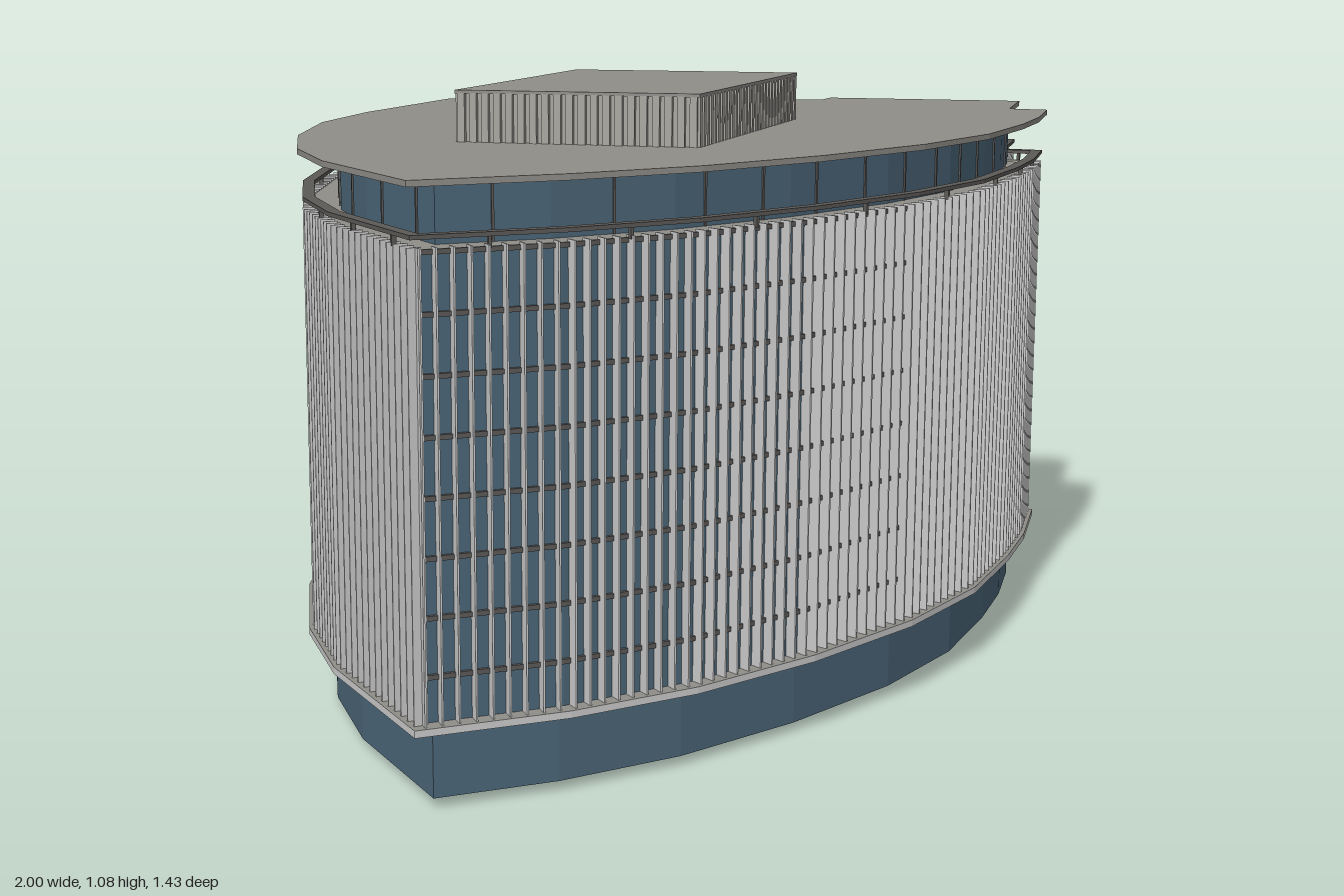
import * as THREE from 'three';
import { mergeGeometries } from 'three/addons/utils/BufferGeometryUtils.js';

// Roof outline as [x, z], running from the left tip along the front, the notched side and the back
const OUTLINE = [
  [-1, 0.363], [-0.79, 0.505], [-0.58, 0.605], [-0.33, 0.676], [-0.06, 0.717], [0.19, 0.716],
  [0.43, 0.67], [0.6, 0.624], [0.79, 0.554], [0.78, 0.475], [1, 0.394], [0.88, -0.005],
  [0.81, 0.013], [0.76, -0.127], [0.715, -0.285], [0.78, -0.315], [0.663, -0.716],
  [0.44, -0.648], [0.417, -0.712], [0, -0.592], [-0.25, -0.487], [-0.5, -0.317],
  [-0.7, -0.132], [-0.84, 0.053],
];
const PENTHOUSE = [[-0.455, 0.012], [-0.325, 0.433], [0.305, 0.248], [0.175, -0.187]];
const SOLID_EDGES = [8, 12, 13, 17]; // edges with plain panels instead of glazing

// The whole building leans very slightly
const LEAN = new THREE.Matrix4().set(1, 0, 0, 0, -0.005, 1, 0.009, 0, 0, 0, 1, 0, 0, 0, 0, 1);

const paint = (color) => new THREE.MeshStandardMaterial({ color });
const glass = paint(0x4b6678);
const concrete = paint(0x908e89);
const finPaint = paint(0xcccccc);
const slatPaint = paint(0xa8a6a0);
const darkTrim = paint(0x5c5a57);
const cream = paint(0xc8c3b3);

// Mitred inward offset of a closed outline
function inset(points, d) {
  const n = points.length;
  const normal = (i) => {
    const a = points[(i + n) % n], b = points[(i + 1) % n];
    const dx = b[0] - a[0], dz = b[1] - a[1], l = Math.hypot(dx, dz);
    return [dz / l, -dx / l];
  };
  return points.map(([x, z], i) => {
    const p = normal(i - 1 + n), q = normal(i);
    const k = d / (1 + p[0] * q[0] + p[1] * q[1]);
    return [x + (p[0] + q[0]) * k, z + (p[1] + q[1]) * k];
  });
}

const toVectors = (points) => points.map(([x, z]) => new THREE.Vector2(x, -z));

// Upright prism over an outline, optionally hollow
function prism(points, y, height, hole) {
  const shape = new THREE.Shape(toVectors(points));
  if (hole) shape.holes.push(new THREE.Path(toVectors(hole)));
  const g = new THREE.ExtrudeGeometry(shape, { depth: height, bevelEnabled: false });
  return g.rotateX(-Math.PI / 2).translate(0, y, 0);
}

// Box standing on edge i at fraction t, reaching `depth` inward from the line
function edgeBox(points, i, t, width, depth, y, height) {
  const a = points[i], b = points[(i + 1) % points.length];
  const dx = b[0] - a[0], dz = b[1] - a[1];
  return new THREE.BoxGeometry(width, height, depth)
    .translate(0, y + height / 2, -depth / 2)
    .rotateY(-Math.atan2(dz, dx))
    .translate(a[0] + dx * t, 0, a[1] + dz * t);
}

const edgeLength = (p, i) => {
  const a = p[i], b = p[(i + 1) % p.length];
  return Math.hypot(b[0] - a[0], b[1] - a[1]);
};

// Evenly spaced upright fins round an outline
function fins(points, spacing, width, depth, y, height, skip = []) {
  const list = [];
  points.forEach((_, i) => {
    if (skip.includes(i)) return;
    const count = Math.max(1, Math.round(edgeLength(points, i) / spacing));
    for (let k = 0; k < count; k++) {
      list.push(edgeBox(points, i, (k + 0.5) / count, width, depth, y, height));
    }
  });
  return mergeGeometries(list);
}

export function createModel() {
  const group = new THREE.Group();
  const add = (name, geometry, material) => {
    const mesh = new THREE.Mesh(geometry.applyMatrix4(LEAN), material);
    mesh.name = name;
    group.add(mesh);
  };

  // Recessed ground floor, open underneath, with its ceiling and the ledge above
  add('groundFloorWalls', prism(inset(OUTLINE, 0.047), 0.01, 0.122, inset(OUTLINE, 0.051)), glass);
  add('groundFloorCeiling', prism(inset(OUTLINE, 0.05), 0.126, 0.006), cream);
  add('ledge', prism(OUTLINE, 0.13, 0.012), [concrete, finPaint]);

  // Glazed main block
  add('mainBlock', prism(inset(OUTLINE, 0.028), 0.14, 0.738), [concrete, glass]);

  // Floor bands
  const bandOuter = inset(OUTLINE, 0.022), bandInner = inset(OUTLINE, 0.03);
  const bands = [];
  for (let f = 1; f <= 8; f++) {
    bands.push(prism(bandOuter, 0.118 + f * 0.094, 0.008, bandInner));
  }
  add('floorBands', mergeGeometries(bands), darkTrim);

  // Facade fins
  add('facadeFins', fins(inset(OUTLINE, 0.007), 0.027, 0.003, 0.023, 0.14, 0.742, SOLID_EDGES), finPaint);

  // Plain panels in the notches
  const panelLine = inset(OUTLINE, 0.018);
  add('plainPanels', mergeGeometries(SOLID_EDGES.map((i) =>
    edgeBox(panelLine, i, 0.5, edgeLength(panelLine, i), 0.014, 0.14, 0.741))), cream);

  // Terrace rail on short posts
  add('terraceRail', prism(inset(OUTLINE, 0.007), 0.895, 0.007, inset(OUTLINE, 0.028)), darkTrim);
  add('railPosts', fins(inset(OUTLINE, 0.014), 0.2, 0.005, 0.008, 0.876, 0.02), darkTrim);

  // Set-back top floor with its mullions
  add('topFloor', prism(inset(OUTLINE, 0.072), 0.87, 0.107), [concrete, glass]);
  add('topFloorMullions', fins(inset(OUTLINE, 0.069), 0.15, 0.004, 0.006, 0.876, 0.1), darkTrim);

  // Overhanging roof
  add('roof', prism(OUTLINE, 0.974, 0.01), concrete);

  // Slatted rooftop plant room
  add('plantRoom', prism(inset(PENTHOUSE, 0.008), 0.983, 0.086), slatPaint);
  add('plantRoomSlats', fins(PENTHOUSE, 0.022, 0.013, 0.01, 0.983, 0.086), slatPaint);
  add('plantRoomRoof', prism(PENTHOUSE, 1.068, 0.006), concrete);

  return group;
}
